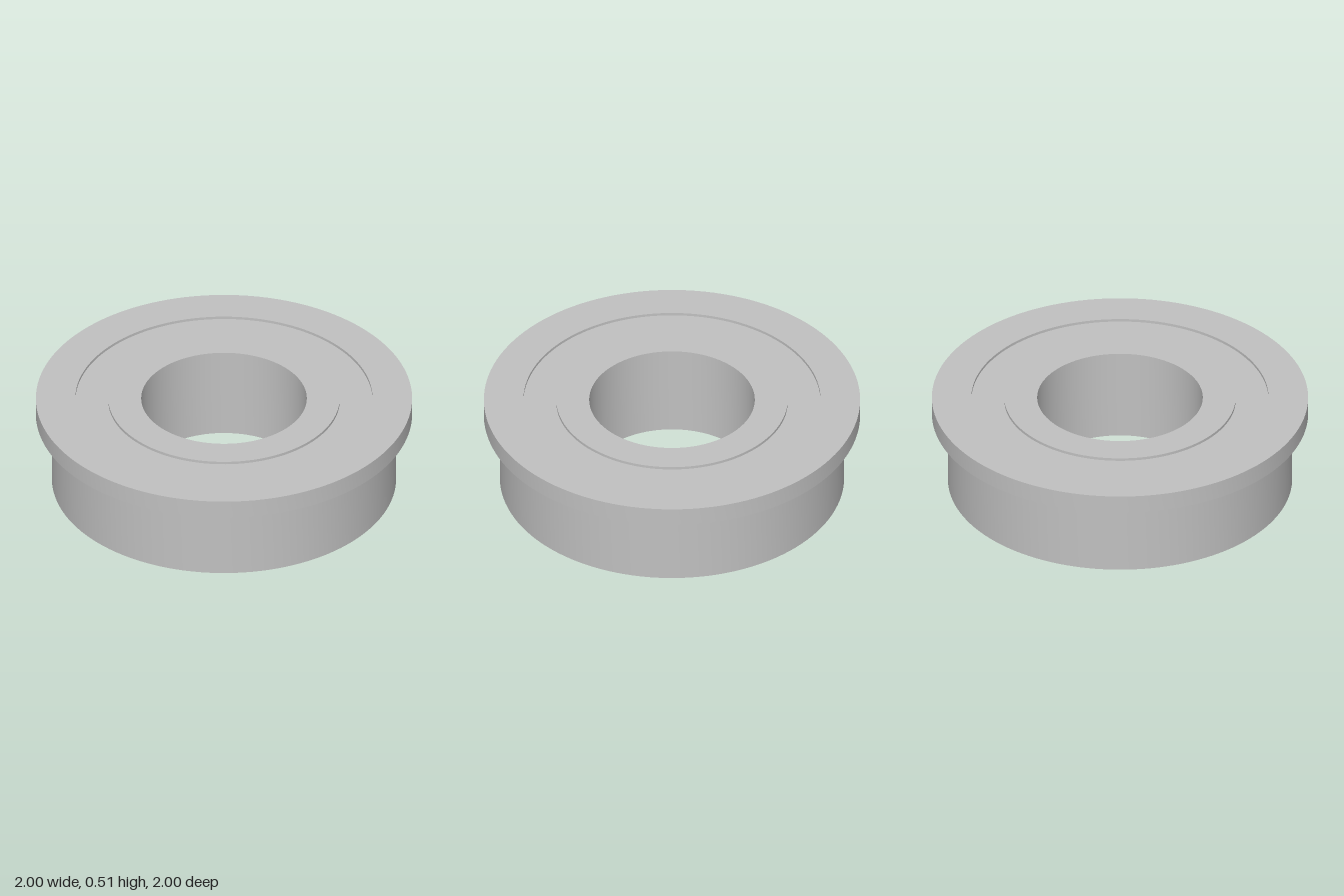
import * as THREE from 'three';
import { toCreasedNormals } from 'three/addons/utils/BufferGeometryUtils.js';

const HEIGHT = 0.51;
const FLANGE_Y = 0.41; // underside of the flange
const RECESS = 0.015; // how far the shield sits below the ring faces
const R = { bore: 0.44, inner: 0.615, shield: 0.79, body: 0.915, flange: 1 };

// Revolves a closed profile, listed counter-clockwise as [radius, height]
function ring(name, profile, material) {
  const points = [...profile, profile[0]].map(([r, y]) => new THREE.Vector2(r, y));
  const geometry = toCreasedNormals(new THREE.LatheGeometry(points, 128), Math.PI / 6);
  const mesh = new THREE.Mesh(geometry, material);
  mesh.name = name;
  return mesh;
}

const block = (r0, r1, y0, y1) => [[r0, y0], [r1, y0], [r1, y1], [r0, y1]];

export function createModel() {
  const steel = new THREE.MeshStandardMaterial({ color: 0xc0c0c0 });
  steel.name = 'steel';

  const bearing = new THREE.Group();
  bearing.name = 'flangedBearing';

  // Outer ring with the flange at the top
  bearing.add(ring('outerRing', [
    [R.shield, 0], [R.body, 0], [R.body, FLANGE_Y],
    [R.flange, FLANGE_Y], [R.flange, HEIGHT], [R.shield, HEIGHT],
  ], steel));

  // Inner ring around the bore
  bearing.add(ring('innerRing', block(R.bore, R.inner, 0, HEIGHT), steel));

  // Shield between the rings, recessed on both faces
  bearing.add(ring('shield', block(R.inner, R.shield, RECESS, HEIGHT - RECESS), steel));

  return bearing;
}
